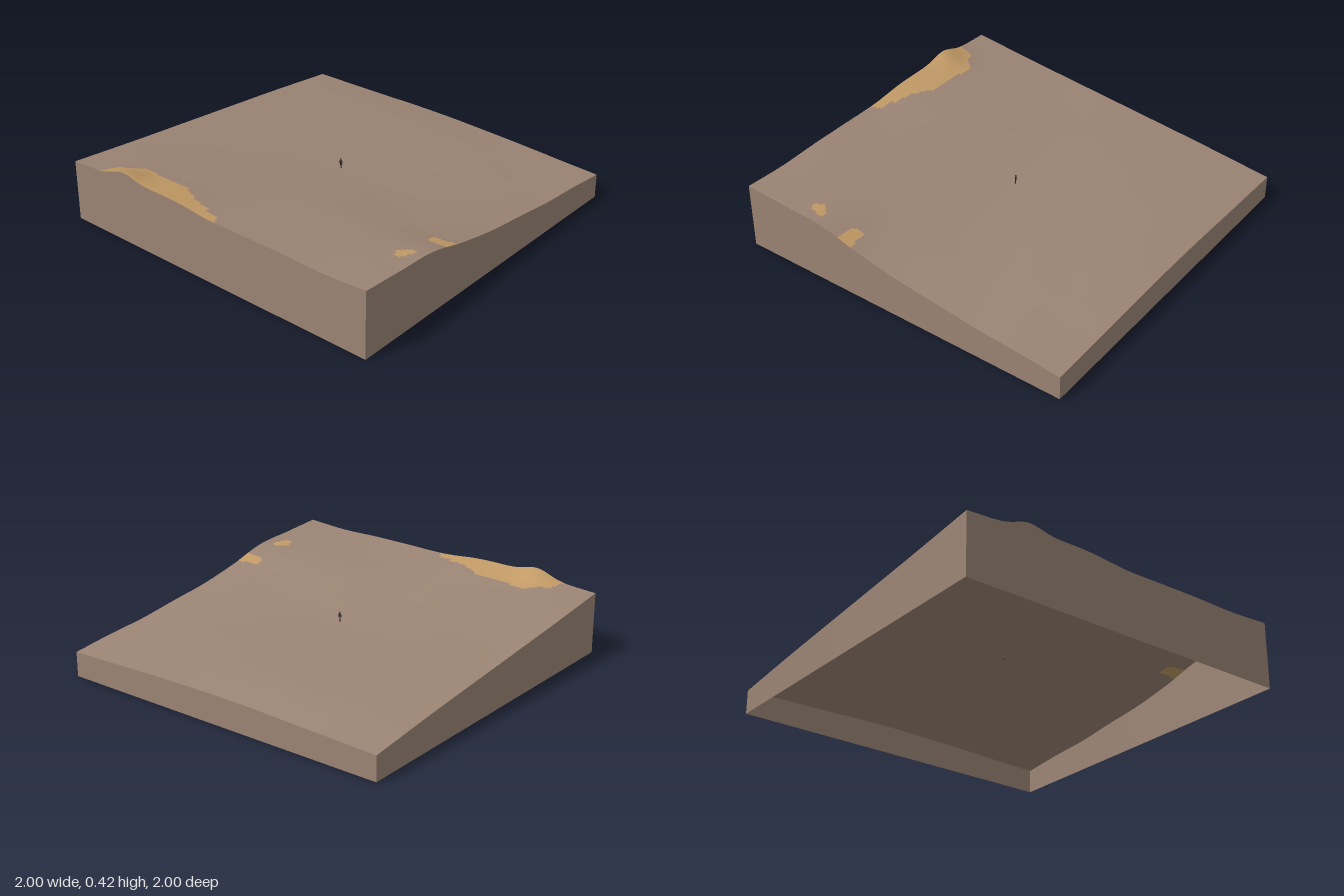
import * as THREE from 'three';

// Ground heights: rows run from back (z = -1) to front (z = 1), columns from x = -1 to 1
const HEIGHTS = [
  [0.138, 0.145, 0.152, 0.160, 0.163, 0.160, 0.155, 0.147, 0.140],
  [0.167, 0.180, 0.190, 0.198, 0.197, 0.190, 0.180, 0.170, 0.165],
  [0.195, 0.205, 0.212, 0.216, 0.216, 0.212, 0.205, 0.195, 0.183],
  [0.220, 0.226, 0.230, 0.232, 0.232, 0.230, 0.225, 0.220, 0.215],
  [0.245, 0.248, 0.250, 0.250, 0.250, 0.250, 0.250, 0.250, 0.245],
  [0.270, 0.270, 0.275, 0.280, 0.282, 0.285, 0.285, 0.285, 0.293],
  [0.295, 0.300, 0.310, 0.315, 0.315, 0.320, 0.325, 0.335, 0.355],
  [0.322, 0.335, 0.345, 0.350, 0.345, 0.345, 0.350, 0.360, 0.370],
  [0.350, 0.365, 0.385, 0.389, 0.370, 0.372, 0.374, 0.371, 0.385],
];

// Outlines of the sandy patches as [x, z]
const PATCHES = [
  [[-0.8, 1.01], [-0.77, 0.9], [-0.72, 0.88], [-0.66, 0.82], [-0.58, 0.81], [-0.53, 0.835], [-0.32, 0.835],
    [-0.27, 0.87], [-0.22, 0.88], [-0.2, 0.905], [-0.1, 0.91], [-0.08, 0.94], [0, 0.945], [0.04, 1.01]],
  [[0.89, 0.31], [1.01, 0.305], [1.01, 0.39], [0.9, 0.39], [0.87, 0.37], [0.87, 0.33]],
  [[0.9, 0.55], [0.95, 0.54], [0.94, 0.58], [0.91, 0.65], [0.88, 0.64], [0.85, 0.6]],
];

// Smooth curve through evenly spaced values, t in [0, 1]
function spline(v, t) {
  const n = v.length - 1;
  const i = Math.min(Math.floor(t * n), n - 1);
  const f = t * n - i;
  const b = v[i], c = v[i + 1];
  const a = i > 0 ? v[i - 1] : 2 * b - c;
  const d = i + 2 <= n ? v[i + 2] : 2 * c - b;
  return b + 0.5 * f * (c - a + f * (2 * a - 5 * b + 4 * c - d + f * (3 * (b - c) + d - a)));
}

function heightAt(x, z) {
  const base = spline(HEIGHTS.map((row) => spline(row, (x + 1) / 2)), (z + 1) / 2);
  const knoll = 0.04 * Math.exp(-(((x + 0.63) / 0.11) ** 2) - ((z - 1) / 0.11) ** 2);
  return base + knoll;
}

function inside(poly, x, z) {
  let hit = false;
  for (let i = 0, j = poly.length - 1; i < poly.length; j = i++) {
    const [ax, az] = poly[i], [bx, bz] = poly[j];
    if (az > z !== bz > z && x < ((bx - ax) * (z - az)) / (bz - az) + ax) hit = !hit;
  }
  return hit;
}

// Rolling surface; its cells are sorted into earth and sand groups
function groundGeometry(n) {
  const geo = new THREE.PlaneGeometry(2, 2, n, n).rotateX(-Math.PI / 2);
  const pos = geo.attributes.position;
  for (let i = 0; i < pos.count; i++) pos.setY(i, heightAt(pos.getX(i), pos.getZ(i)));
  const earth = [], sand = [];
  for (let r = 0; r < n; r++) {
    for (let c = 0; c < n; c++) {
      const x = -1 + (2 * (c + 0.5)) / n, z = -1 + (2 * (r + 0.5)) / n;
      const a = r * (n + 1) + c, b = a + n + 1;
      const list = PATCHES.some((p) => inside(p, x, z)) ? sand : earth;
      list.push(a, b, a + 1, b, b + 1, a + 1);
    }
  }
  geo.setIndex([...earth, ...sand]);
  geo.addGroup(0, earth.length, 0);
  geo.addGroup(earth.length, sand.length, 1);
  geo.computeVertexNormals();
  return geo;
}

// Upright skirt from the ground edge down to y = 0; at(t) gives [x, z] with t in [-1, 1]
function wallGeometry(at, n) {
  const geo = new THREE.PlaneGeometry(2, 1, n, 1);
  const pos = geo.attributes.position;
  for (let i = 0; i < pos.count; i++) {
    const [x, z] = at(pos.getX(i));
    pos.setXYZ(i, x, pos.getY(i) > 0 ? heightAt(x, z) : 0, z);
  }
  geo.computeVertexNormals();
  return geo;
}

// Tiny standing person, about 0.055 tall
function createFigure(material) {
  const figure = new THREE.Group();
  figure.name = 'figure';
  const add = (name, geo, x, y, z = 0, tilt = 0) => {
    const mesh = new THREE.Mesh(geo, material);
    mesh.name = name;
    mesh.position.set(x, y, z);
    mesh.rotation.z = tilt;
    figure.add(mesh);
  };
  add('head', new THREE.SphereGeometry(0.0042, 12, 8), 0, 0.051);
  add('torso', new THREE.CapsuleGeometry(0.0045, 0.012, 4, 10), 0, 0.036);
  for (const s of [-1, 1]) {
    add('leg', new THREE.CylinderGeometry(0.0028, 0.002, 0.029, 8), s * 0.0028, 0.0145);
    add('foot', new THREE.BoxGeometry(0.0035, 0.002, 0.008), s * 0.003, 0.001, 0.002);
    add('arm', new THREE.CylinderGeometry(0.0018, 0.0014, 0.021, 8), s * 0.0075, 0.034, 0, s * 0.2);
  }
  return figure;
}

export function createModel() {
  const earth = new THREE.MeshStandardMaterial({ color: 0x9b8474, side: THREE.DoubleSide });
  earth.name = 'earth';
  const sand = new THREE.MeshStandardMaterial({ color: 0xc29a66, side: THREE.DoubleSide });
  sand.name = 'sand';
  const dark = new THREE.MeshStandardMaterial({ color: 0x2e2c2e });
  dark.name = 'charcoal';

  const model = new THREE.Group();
  model.name = 'terrainBlock';
  const ground = new THREE.Mesh(groundGeometry(140), [earth, sand]);
  ground.name = 'ground';
  model.add(ground);

  // Four sides, open underneath
  const sides = {
    frontWall: (t) => [t, 1],
    backWall: (t) => [-t, -1],
    leftWall: (t) => [1, -t],
    rightWall: (t) => [-1, t],
  };
  for (const [name, at] of Object.entries(sides)) {
    const wall = new THREE.Mesh(wallGeometry(at, 140), earth);
    wall.name = name;
    model.add(wall);
  }

  const figure = createFigure(dark);
  figure.position.y = heightAt(0, 0);
  figure.rotation.y = 0.4;
  model.add(figure);
  return model;
}
